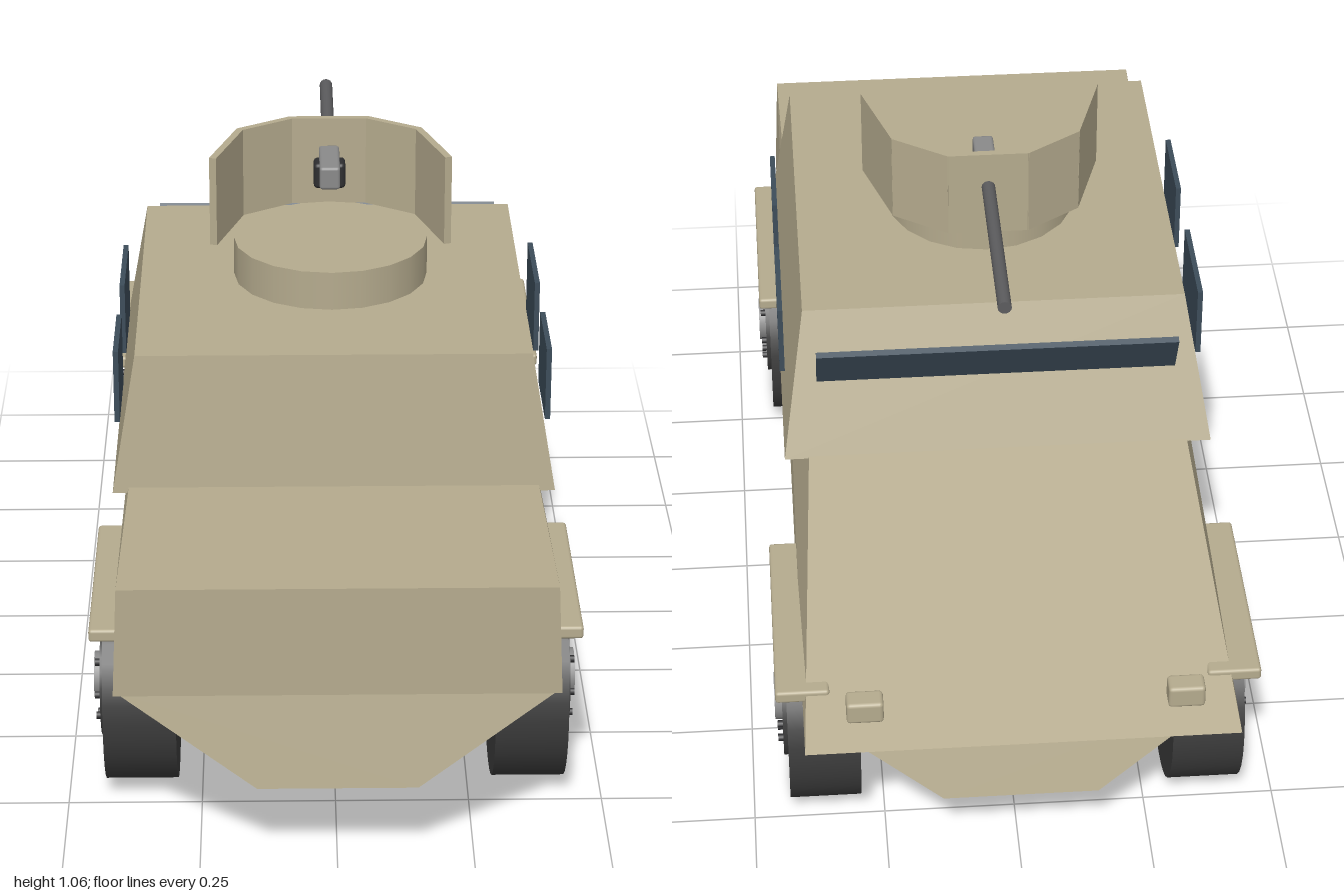
import * as THREE from 'three';
import { ConvexGeometry } from 'three/addons/geometries/ConvexGeometry.js';
import { RoundedBoxGeometry } from 'three/addons/geometries/RoundedBoxGeometry.js';

const paint = (color) => new THREE.MeshStandardMaterial({ color });

export function createModel() {
  const model = new THREE.Group();
  const tan = paint(0xb5ab8e), glass = paint(0x3d4d5a), rubber = paint(0x3c3c3c);
  const darkMetal = paint(0x2e2e30), steel = paint(0x8a8a8a), gunMetal = paint(0x5c5c5e);

  function add(name, geometry, material, x = 0, y = 0, z = 0, parent = model) {
    const mesh = new THREE.Mesh(geometry, material);
    mesh.name = name;
    mesh.position.set(x, y, z);
    parent.add(mesh);
    return mesh;
  }

  // Flat-sided solid from mirrored corners [halfWidth, y, z]
  function solid(name, corners) {
    const points = corners.flatMap(([x, y, z]) =>
      [new THREE.Vector3(x, y, z), new THREE.Vector3(-x, y, z)]);
    return add(name, new ConvexGeometry(points), tan);
  }

  // Armoured body
  solid('lowerHull', [
    [0.40, 0.357, 0.965], [0.40, 0.357, -0.845],
    [0.145, 0.175, 1.0], [0.145, 0.175, -0.905],
  ]);
  solid('upperHull', [
    [0.40, 0.355, 0.98], [0.40, 0.355, -0.96],
    [0.39, 0.567, 0.98], [0.365, 0.562, -0.335],
  ]);
  solid('cabin', [
    [0.412, 0.555, 0.565], [0.412, 0.555, -0.347],
    [0.367, 0.82, 0.535], [0.367, 0.82, -0.228],
  ]);

  // Windscreen plate, leaning forward at its top edge
  const windscreen = add('windscreen', new THREE.BoxGeometry(0.69, 0.1, 0.012), glass, 0, 0.742, -0.305);
  windscreen.rotation.x = -0.47;

  // Parts that repeat on both sides
  for (const side of [1, -1]) {
    add('rearSideWindow', new THREE.BoxGeometry(0.01, 0.145, 0.18), glass, side * 0.409, 0.693, 0.3);
    add('frontSideWindow', new THREE.BoxGeometry(0.01, 0.145, 0.215), glass, side * 0.409, 0.693, -0.043);
    add('headlight', new RoundedBoxGeometry(0.067, 0.045, 0.042, 2, 0.007), tan, side * 0.29, 0.482, -0.977);
    for (const z of [0.605, -0.628])
      add('fender', new RoundedBoxGeometry(0.1, 0.025, 0.432, 2, 0.006), tan, side * 0.4, 0.39, z);
    for (const z of [0.607, -0.62]) {
      const wheel = createWheel();
      wheel.position.set(side * 0.3625, 0.195, z);
      wheel.rotation.z = -side * Math.PI / 2;
      model.add(wheel);
    }
  }

  // Wheel built along +y, which is then turned to point outwards
  function createWheel() {
    const wheel = new THREE.Group();
    wheel.name = 'wheel';
    add('tyre', new THREE.CylinderGeometry(0.195, 0.195, 0.135, 32), rubber, 0, 0, 0, wheel);
    add('rim', new THREE.CylinderGeometry(0.113, 0.113, 0.02, 24), rubber, 0, 0.066, 0, wheel);
    add('hub', new THREE.CylinderGeometry(0.045, 0.045, 0.03, 16), steel, 0, 0.075, 0, wheel);
    const nut = new THREE.CylinderGeometry(0.007, 0.007, 0.02, 8);
    for (let i = 0; i < 8; i++) {
      const a = i * Math.PI / 4;
      add('wheelNut', nut, darkMetal, 0.08 * Math.cos(a), 0.076, 0.08 * Math.sin(a), wheel);
    }
    return wheel;
  }

  // Turret ring and its open-backed shield
  add('turretRing', new THREE.CylinderGeometry(0.187, 0.187, 0.077, 20), tan, 0, 0.857, 0.135);
  const bends = [[-0.225, 0.147], [-0.175, -0.012], [-0.075, -0.078],
    [0.075, -0.078], [0.175, -0.012], [0.225, 0.147]];
  for (let i = 0; i < bends.length - 1; i++) {
    const [x0, z0] = bends[i], [x1, z1] = bends[i + 1];
    const plate = add('shieldPlate',
      new THREE.BoxGeometry(Math.hypot(x1 - x0, z1 - z0) + 0.006, 0.178, 0.014),
      tan, (x0 + x1) / 2, 0.974, (z0 + z1) / 2);
    plate.rotation.y = -Math.atan2(z1 - z0, x1 - x0);
  }

  // Gun
  add('gunMount', new RoundedBoxGeometry(0.062, 0.052, 0.045, 2, 0.008), darkMetal, 0, 0.977, 0.003);
  add('gunReceiver', new RoundedBoxGeometry(0.04, 0.046, 0.13, 2, 0.006), steel, 0, 0.987, 0);
  const barrel = add('gunBarrel', new THREE.CylinderGeometry(0.013, 0.013, 0.46, 16), gunMetal, 0, 0.99, -0.25);
  barrel.rotation.x = Math.PI / 2;

  return model;
}
